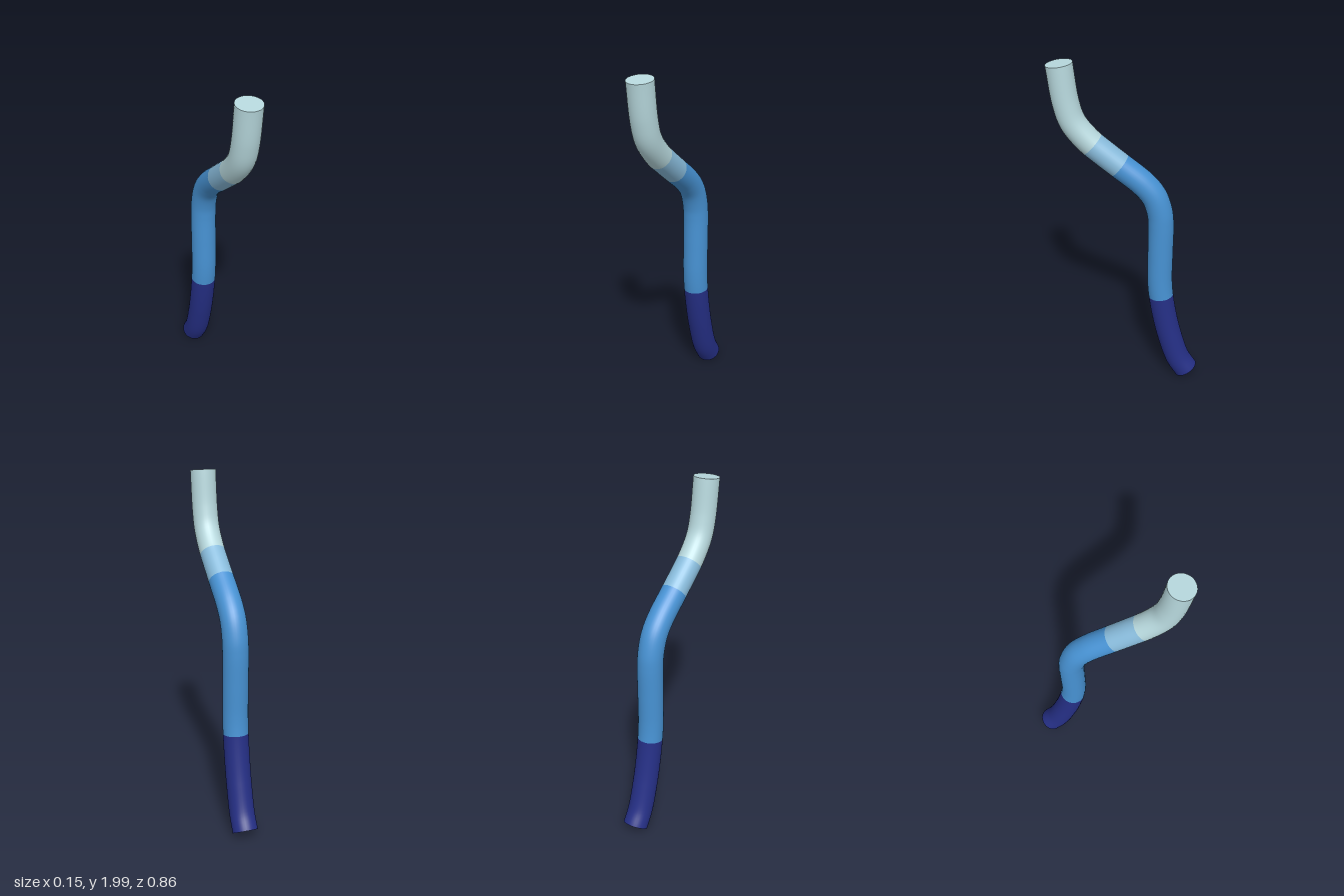
import * as THREE from 'three';

const RADIUS = 0.073;
const SIDES = 32;

// Centre line of the bent tube, as [z, y] from the bottom up
const centreLine = [
  [-0.363, 0.043], [-0.31, 0.13], [-0.254, 0.304], [-0.22, 0.455], [-0.198, 0.595],
  [-0.19, 0.7], [-0.19, 0.88], [-0.19, 1.06], [-0.182, 1.14], [-0.148, 1.24],
  [-0.087, 1.315], [0.03, 1.41], [0.124, 1.485], [0.214, 1.562], [0.294, 1.664],
  [0.328, 1.77], [0.358, 1.988],
];

// A stretch of a longer curve between two arc-length fractions
class Stretch extends THREE.Curve {
  constructor(path, from, to) {
    super();
    Object.assign(this, { path, from, to });
  }
  at(t) { return THREE.MathUtils.lerp(this.from, this.to, t); }
  getPoint(t, target) { return this.path.getPointAt(this.at(t), target); }
  getTangent(t, target) { return this.path.getTangentAt(this.at(t), target); }
}

// Arc-length fraction at which the rising path reaches a height
function fractionAtHeight(path, y) {
  let low = 0, high = 1;
  for (let i = 0; i < 30; i++) {
    const mid = (low + high) / 2;
    if (path.getPointAt(mid).y < y) low = mid; else high = mid;
  }
  return low;
}

// Flat disc closing one end of the tube
function endCap(name, path, u, sign, material) {
  const cap = new THREE.Mesh(new THREE.CircleGeometry(RADIUS, SIDES), material);
  const outward = path.getTangentAt(u).multiplyScalar(sign);
  cap.name = name;
  cap.position.copy(path.getPointAt(u));
  cap.quaternion.setFromUnitVectors(new THREE.Vector3(0, 0, 1), outward);
  return cap;
}

export function createModel() {
  const group = new THREE.Group();
  group.name = 'bentTube';
  const path = new THREE.CatmullRomCurve3(centreLine.map(([z, y]) => new THREE.Vector3(0, y, z)));
  path.arcLengthDivisions = 600;

  // Coloured bands, each reaching up to the height given
  const bands = [
    ['lowerSection', 'navy', 0x252f85, 0.585],
    ['middleSection', 'blue', 0x4792d3, 1.42],
    ['upperBand', 'lightBlue', 0x88bbdb, 1.54],
    ['topSection', 'paleBlue', 0xb7d8dd, null],
  ];
  const materials = [];
  let from = 0;
  for (const [name, colorName, color, top] of bands) {
    const material = new THREE.MeshStandardMaterial({ color });
    material.name = colorName;
    materials.push(material);
    const to = top === null ? 1 : fractionAtHeight(path, top);
    const rings = Math.max(6, Math.ceil((to - from) * 90));
    const tube = new THREE.TubeGeometry(new Stretch(path, from, to), rings, RADIUS, SIDES);
    const mesh = new THREE.Mesh(tube, material);
    mesh.name = name;
    group.add(mesh);
    from = to;
  }

  // Closed ends
  group.add(endCap('bottomCap', path, 0, -1, materials[0]));
  group.add(endCap('topCap', path, 1, 1, materials[3]));
  return group;
}
